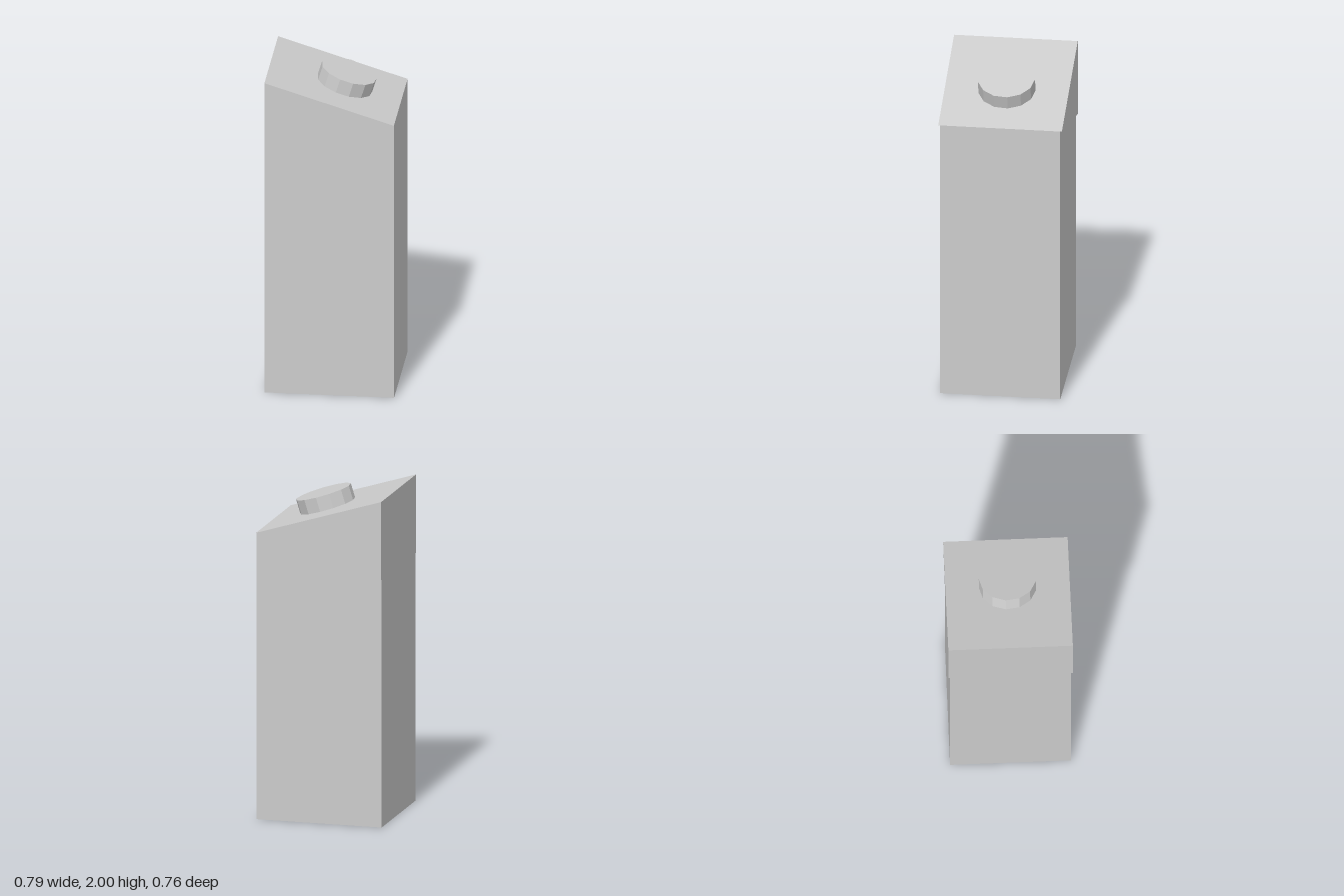
import * as THREE from 'three';

const HALF_W = 0.389, HALF_D = 0.362, HIGH = 2, LOW = 1.76, FLAP = 0.01;
const material = new THREE.MeshStandardMaterial({ color: 0xcccccc, flatShading: true });

// Flat outline in x, y pushed along +z
function slab(name, points, depth, z) {
  const shape = new THREE.Shape(points.map(([x, y]) => new THREE.Vector2(x, y)));
  const geometry = new THREE.ExtrudeGeometry(shape, { depth, bevelEnabled: false });
  const mesh = new THREE.Mesh(geometry.translate(0, 0, z), material);
  mesh.name = name;
  return mesh;
}

export function createModel() {
  const carton = new THREE.Group();
  carton.name = 'carton';

  // Tall body with a slanted top
  carton.add(slab('body', [[-HALF_W, 0], [HALF_W, 0], [HALF_W, LOW], [-HALF_W, HIGH]],
    HALF_D * 2, -HALF_D));

  // Folded triangular flaps on the front and back
  const triangle = [[-HALF_W, 2 * LOW - HIGH], [HALF_W, LOW], [-HALF_W, HIGH]];
  carton.add(slab('frontFlap', triangle, FLAP, HALF_D));
  carton.add(slab('backFlap', triangle, FLAP, -HALF_D - FLAP));

  // Thirteen-sided screw cap standing square on the slope
  const slope = Math.atan2(HIGH - LOW, HALF_W * 2);
  const capGeometry = new THREE.CylinderGeometry(0.172, 0.172, 0.089, 13, 1, false, Math.PI + 0.022);
  const cap = new THREE.Mesh(capGeometry.translate(0, 0.0445, 0), material);
  cap.name = 'cap';
  cap.position.set(0.0525, (HIGH + LOW) / 2 - 0.0525 * Math.tan(slope), 0);
  cap.rotation.z = -slope;
  carton.add(cap);

  // The carton stands turned very slightly
  carton.rotation.y = -0.022;
  const model = new THREE.Group();
  model.add(carton);
  return model;
}
